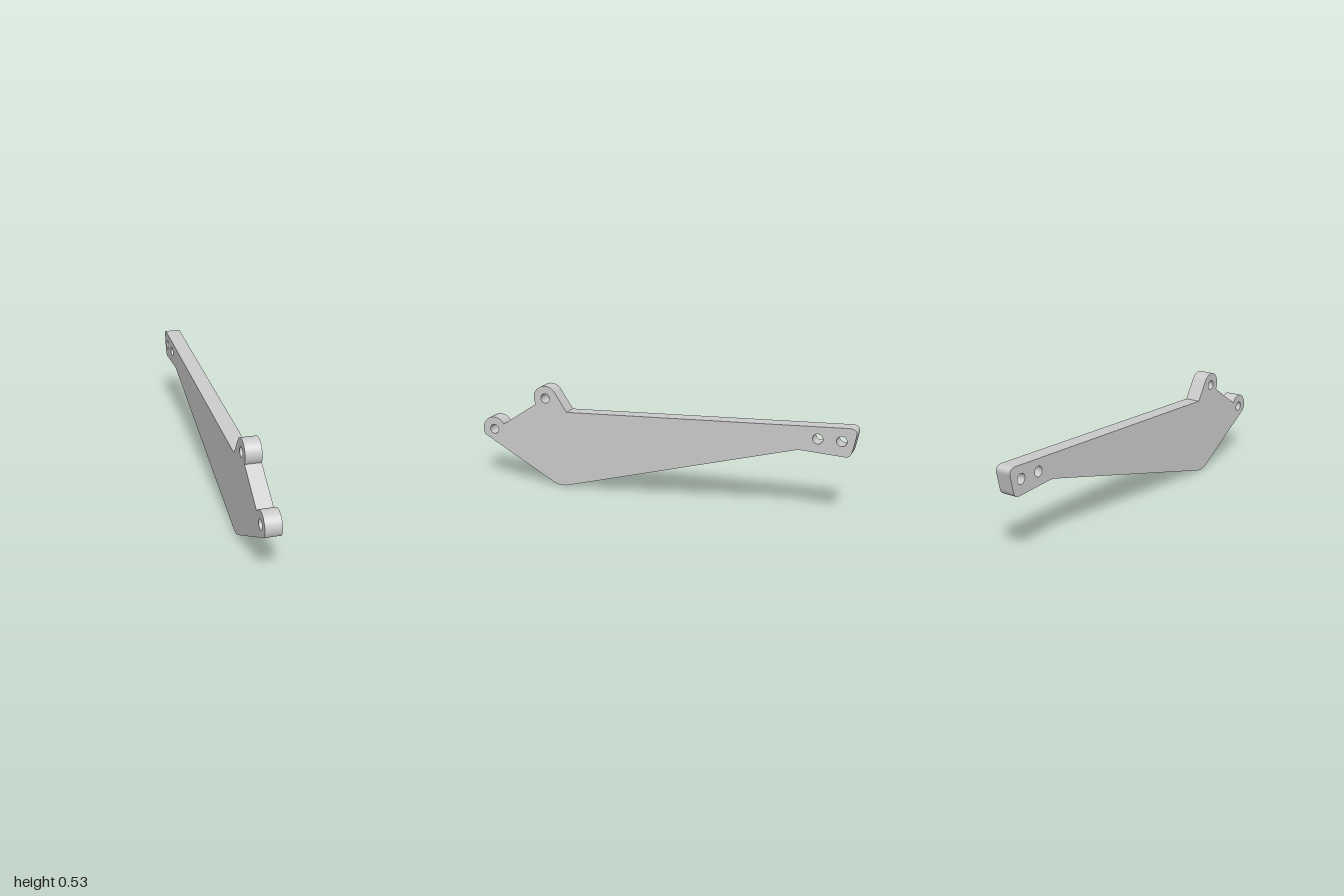
import * as THREE from 'three';

const THICKNESS = 0.08;
const HOLE_RADIUS = 0.025;
const LUG_RADIUS = 0.066;
const lowerLug = [0.934, 0.271];
const upperLug = [0.625, 0.467];
const tailHoles = [[-0.815, 0.4], [-0.93, 0.4]];

// Side outline: shape x runs along the arm (z), shape y is up
function armOutline() {
  const s = new THREE.Shape();
  const deg = THREE.MathUtils.degToRad;
  const lug = ([u, y]) => s.absarc(u, y, LUG_RADIUS, deg(-32), deg(150), false);

  s.moveTo(0.93, 0.135);
  lug(lowerLug);
  lug(upperLug);
  s.lineTo(0.505, 0.404);
  // rounded tail end
  s.lineTo(-0.96, 0.467);
  s.quadraticCurveTo(-1.007, 0.469, -0.998, 0.43);
  s.lineTo(-0.982, 0.354);
  s.quadraticCurveTo(-0.975, 0.322, -0.945, 0.324);
  // underside with soft bends
  s.lineTo(-0.76, 0.335);
  s.quadraticCurveTo(-0.728, 0.338, -0.7, 0.331);
  s.lineTo(0.505, 0.005);
  s.quadraticCurveTo(0.543, -0.006, 0.585, 0.01);
  s.closePath();

  // bolt holes
  for (const [u, y] of [lowerLug, upperLug, ...tailHoles]) {
    s.holes.push(new THREE.Path().absarc(u, y, HOLE_RADIUS, 0, Math.PI * 2, true));
  }
  return s;
}

export function createModel() {
  const group = new THREE.Group();
  group.name = 'leverArm';

  // Flat plate extruded across x
  const geometry = new THREE.ExtrudeGeometry(armOutline(), {
    depth: THICKNESS, bevelEnabled: false, curveSegments: 24,
  });
  geometry.translate(0, 0, -THICKNESS / 2);
  geometry.rotateY(-Math.PI / 2);

  const plate = new THREE.Mesh(geometry, new THREE.MeshStandardMaterial({ color: 0xcccccc }));
  plate.name = 'armPlate';
  group.add(plate);
  return group;
}
